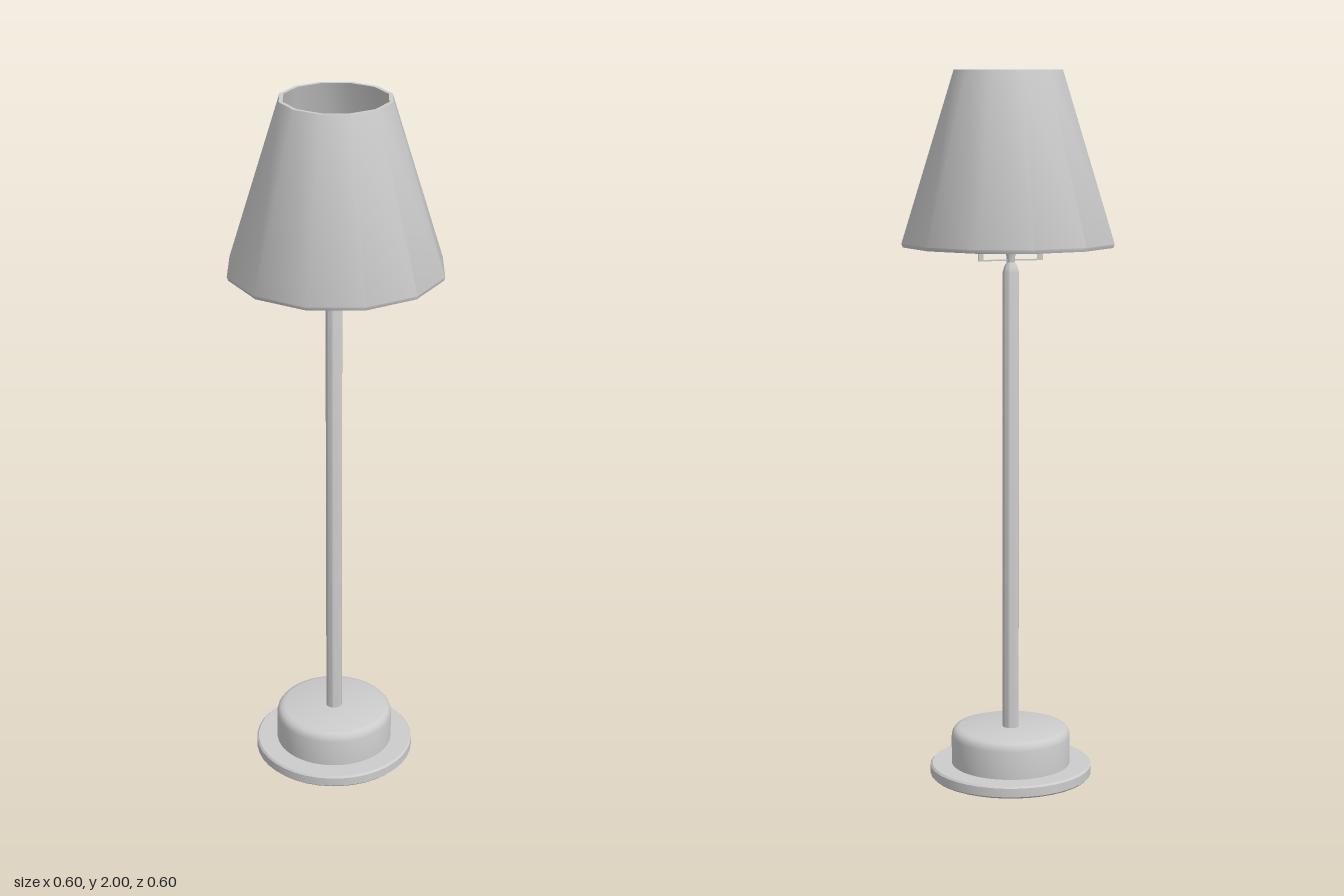
import * as THREE from 'three';
import { toCreasedNormals } from 'three/addons/utils/BufferGeometryUtils.js';

const material = new THREE.MeshStandardMaterial({ color: 0xcccccc });

// Surface of revolution from [radius, height] pairs, listed bottom to top on the outside
function turned(name, profile, sides, crease = 0.7) {
  const points = profile.map(([r, y]) => new THREE.Vector2(r, y));
  const geometry = toCreasedNormals(new THREE.LatheGeometry(points, sides), crease);
  const mesh = new THREE.Mesh(geometry, material);
  mesh.name = name;
  return mesh;
}

function box(name, size, position) {
  const mesh = new THREE.Mesh(new THREE.BoxGeometry(...size), material);
  mesh.name = name;
  mesh.position.set(...position);
  return mesh;
}

export function createModel() {
  const lamp = new THREE.Group();
  lamp.name = 'lamp';

  // Stand: base, pole and bulb share one axis, slightly off the shade's
  const stand = new THREE.Group();
  stand.name = 'stand';
  stand.position.x = -0.006;
  stand.add(
    turned('baseDisc', [[0, 0], [0.226, 0], [0.231, 0.005], [0.231, 0.03], [0.226, 0.035], [0, 0.035]], 40),
    turned('baseDrum', [
      [0, 0.034], [0.17, 0.034], [0.17, 0.115], [0.167, 0.127], [0.16, 0.136], [0.148, 0.14], [0, 0.14],
    ], 40),
    turned('pole', [[0, 0.13], [0.023, 0.13], [0.023, 1.445], [0.019, 1.46], [0.011, 1.475], [0, 1.475]], 20),
    turned('bulb', [
      [0, 1.465], [0.011, 1.465], [0.012, 1.49], [0.019, 1.515], [0.029, 1.535], [0.035, 1.555],
      [0.033, 1.572], [0.025, 1.586], [0.013, 1.594], [0, 1.597],
    ], 24),
  );
  lamp.add(stand);

  // Twelve-sided hollow shade, open at both ends
  lamp.add(turned('shade', [
    [0.287, 1.52], [0.298, 1.52], [0.302, 1.53], [0.154, 2], [0.143, 2], [0.287, 1.52],
  ], 12));

  // Bracket: on each side a wire, an upright and a cross strip that holds the shade
  const bracket = new THREE.Group();
  bracket.name = 'shadeBracket';
  for (const [side, x, z] of [['right', -0.0905, 0.001], ['left', 0.08, -0.003]]) {
    const inner = -0.006;
    bracket.add(
      box(side + 'Wire', [Math.abs(x - inner), 0.004, 0.004], [(x + inner) / 2, 1.48, z]),
      box(side + 'Upright', [0.015, 0.274, 0.005], [x, 1.615, z]),
      box(side + 'CrossStrip', [0.015, 0.005, 0.39], [x, 1.752, 0]),
    );
  }
  lamp.add(bracket);

  return lamp;
}
